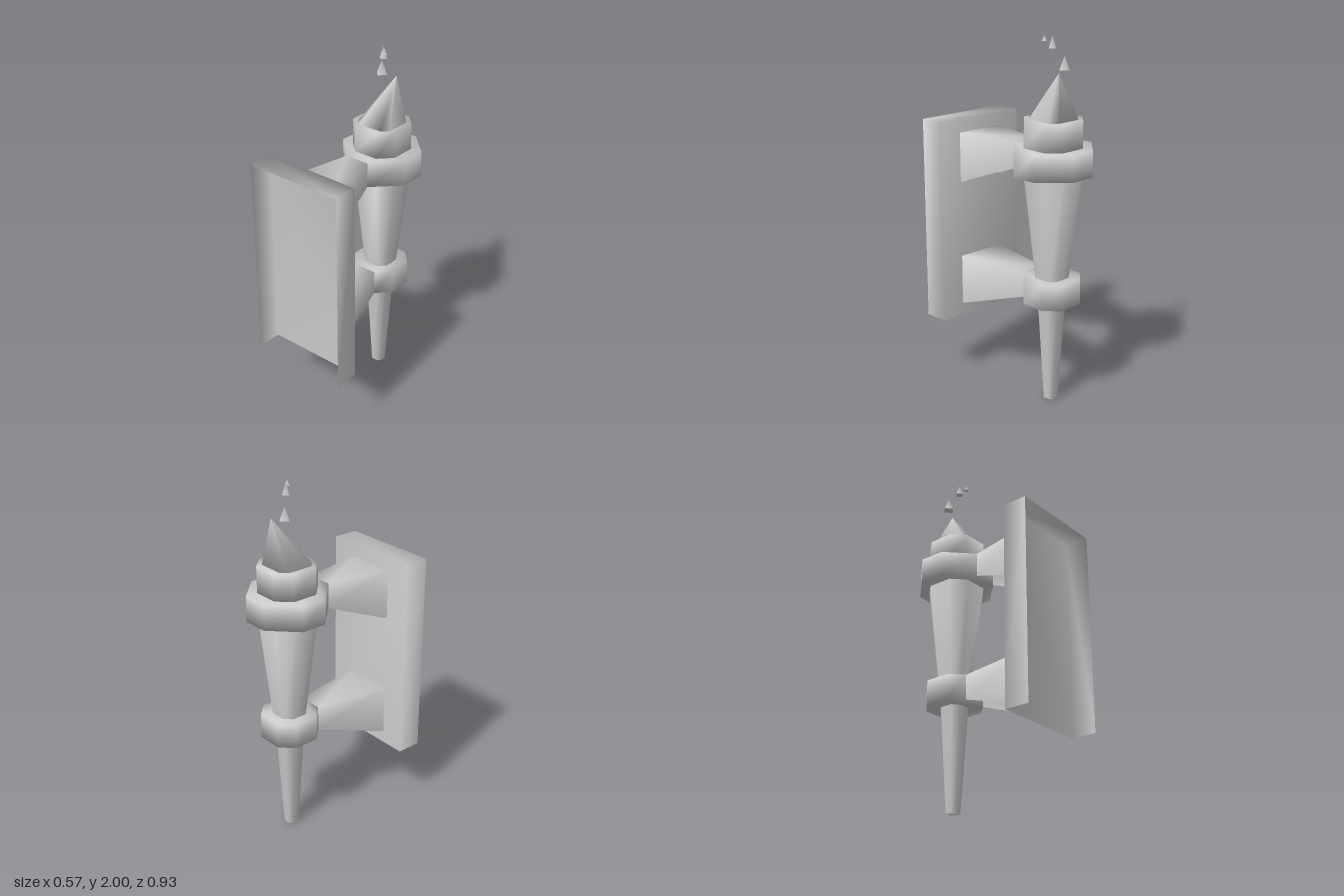
import * as THREE from 'three';

const AXIS_Z = -0.25; // the torch stands behind the wall plate
const material = new THREE.MeshStandardMaterial({ color: 0xcccccc, side: THREE.DoubleSide });

function makeMesh(name, positions, index) {
  const geometry = new THREE.BufferGeometry();
  geometry.setAttribute('position', new THREE.Float32BufferAttribute(positions, 3));
  geometry.setIndex(index);
  geometry.computeVertexNormals();
  const mesh = new THREE.Mesh(geometry, material);
  mesh.name = name;
  return mesh;
}

// Closed loft through chamfered squares: { y, half width, half length of flat, x and z offset }
function octagonLoft(name, levels) {
  const positions = [], index = [];
  for (const { y, half: h, flat: f, x = 0, z = 0 } of levels) {
    const corners = [[f, h], [h, f], [h, -f], [f, -h], [-f, -h], [-h, -f], [-h, f], [-f, h]];
    for (const [cx, cz] of corners) positions.push(cx + x, y, cz + z);
  }
  for (let l = 0; l < levels.length - 1; l++) {
    for (let i = 0; i < 8; i++) {
      const a = l * 8 + i, b = l * 8 + (i + 1) % 8;
      index.push(a, b, b + 8, a, b + 8, a + 8);
    }
  }
  const top = (levels.length - 1) * 8;
  for (let i = 1; i < 7; i++) {
    index.push(0, i + 1, i);
    index.push(top, top + i, top + i + 1);
  }
  const mesh = makeMesh(name, positions, index);
  mesh.position.z = AXIS_Z;
  return mesh;
}

// Channel with a top and two sides, open below, running from the front end to the back end
function channel(name, front, back, closeBack = false) {
  const positions = [], index = [];
  for (const { w, bottom, top, z } of [front, back]) {
    positions.push(w, bottom, z, w, top, z, -w, top, z, -w, bottom, z);
  }
  for (let i = 0; i < 3; i++) index.push(i, i + 4, i + 5, i, i + 5, i + 1);
  if (closeBack) index.push(4, 7, 6, 4, 6, 5);
  return makeMesh(name, positions, index);
}

export function createModel() {
  const model = new THREE.Group();
  model.name = 'wallTorch';

  // Wall plate, hollow towards the wall
  model.add(channel('wallPlate',
    { w: 0.284, bottom: 0.36, top: 1.505, z: 0.463 },
    { w: 0.284, bottom: 0.36, top: 1.505, z: 0.322 }, true));

  // Two tapering brackets
  model.add(channel('upperBracket',
    { w: 0.142, bottom: 1.15, top: 1.43, z: 0.322 },
    { w: 0.071, bottom: 1.29, top: 1.43, z: -0.037 }));
  model.add(channel('lowerBracket',
    { w: 0.142, bottom: 0.43, top: 0.717, z: 0.322 },
    { w: 0.071, bottom: 0.575, top: 0.717, z: -0.108 }));

  // Tapered handle
  model.add(octagonLoft('handle', [
    { y: 0, half: 0.036, flat: 0.018 },
    { y: 0.575, half: 0.069, flat: 0.035 },
    { y: 1.29, half: 0.142, flat: 0.071 },
  ]));

  // Holding rings and the collar below the flame
  const rings = [
    ['lowerRing', 0.575, 0.717, 0.142],
    ['upperRing', 1.29, 1.43, 0.213],
    ['collar', 1.43, 1.575, 0.142],
  ];
  for (const [name, y0, y1, half] of rings) {
    model.add(octagonLoft(name, [{ y: y0, half, flat: 0.071 }, { y: y1, half, flat: 0.071 }]));
  }

  // Leaning flame
  model.add(octagonLoft('flame', [
    { y: 1.575, half: 0.107, flat: 0.071 },
    { y: 1.82, half: 0.0005, flat: 0.0003, x: 0.035, z: -0.07 },
  ]));

  // Sparks drifting above the flame: x, base y, z, radius, height
  const sparks = [
    [-0.037, 1.825, -0.288, 0.035, 0.07],
    [0.006, 1.935, -0.244, 0.026, 0.062],
    [0.034, 1.97, -0.215, 0.017, 0.03],
  ];
  for (const [x, y, z, radius, height] of sparks) {
    const spark = new THREE.Mesh(new THREE.ConeGeometry(radius, height, 4), material);
    spark.name = 'spark';
    spark.position.set(x, y + height / 2, z);
    model.add(spark);
  }

  return model;
}
